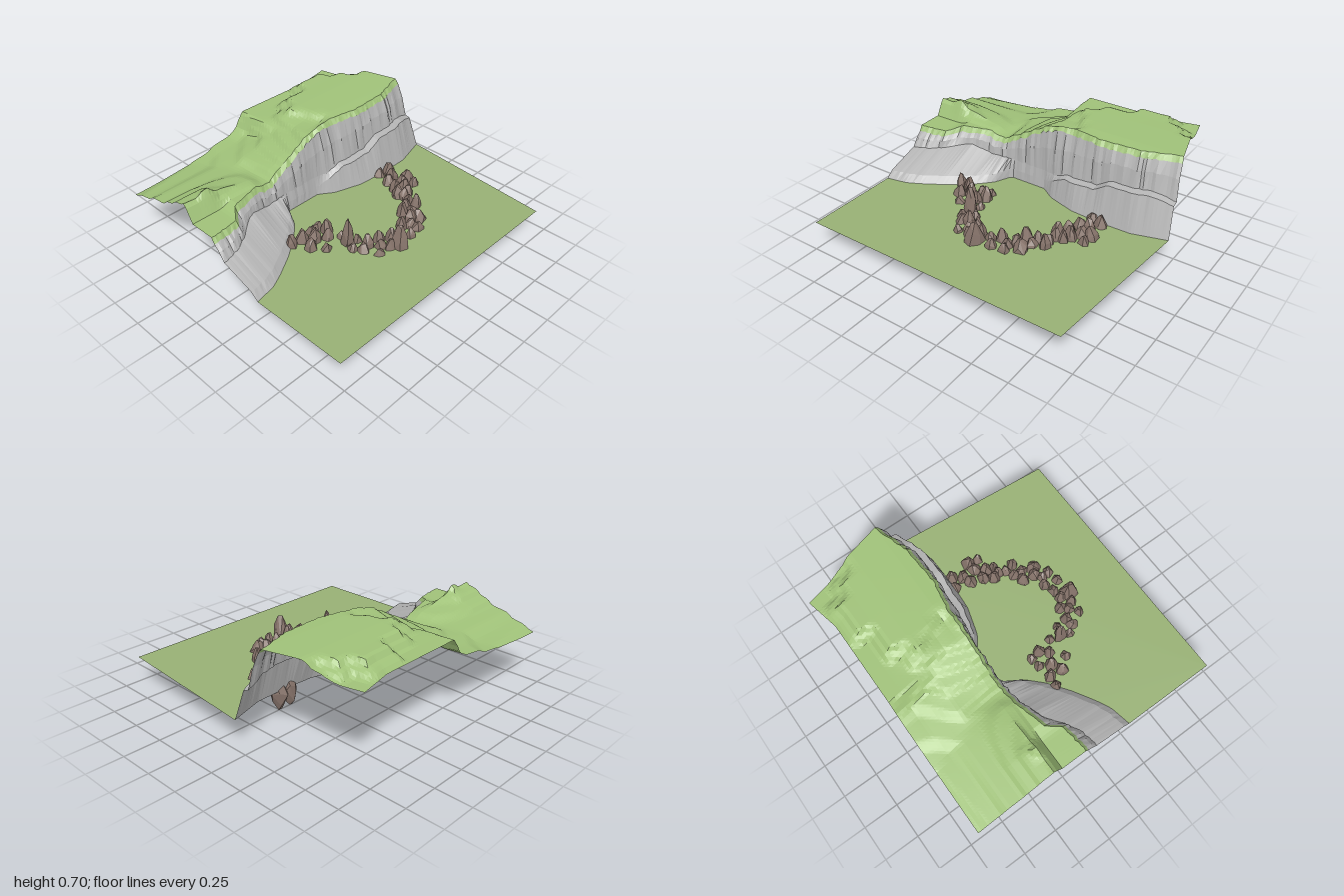
import * as THREE from 'three';
import { ConvexGeometry } from 'three/addons/geometries/ConvexGeometry.js';

const GROUND = 0.195, COLS = 84;
const mat = (name, color, side = THREE.FrontSide) => {
  const m = new THREE.MeshStandardMaterial({ color, side });
  m.name = name;
  return m;
};
const lerp = THREE.MathUtils.lerp;
const step = THREE.MathUtils.smoothstep;

// small seeded random generator
function seeded(seed) {
  return () => {
    seed = (seed * 1664525 + 1013904223) >>> 0;
    return seed / 4294967296;
  };
}

// piecewise linear curve through [position, value] keys
const curve = (...keys) => (x) => {
  if (x <= keys[0][0]) return keys[0][1];
  for (let i = 1; i < keys.length; i++) {
    const [a, va] = keys[i - 1], [b, vb] = keys[i];
    if (x <= b) return lerp(va, vb, (x - a) / (b - a));
  }
  return keys[keys.length - 1][1];
};

// plan and height curves of the cliff, along x
const baseZ = curve([-1, 0.29], [-0.85, 0.26], [-0.75, 0.21], [-0.6, 0.12], [-0.45, 0.01], [-0.34, -0.1],
  [-0.28, -0.23], [0, -0.23], [0.1, -0.16], [0.3, -0.1], [0.5, -0.085], [0.75, -0.09], [0.99, -0.16]);
const toeDepth = curve([-1, 0.05], [-0.4, 0.05], [-0.28, 0.005], [0, 0.01], [0.1, 0.035], [0.4, 0.06], [1, 0.07]);
const toeY = curve([-1, 0.24], [-0.4, 0.24], [-0.28, 0.26], [0.02, 0.26], [0.1, 0.31], [0.2, 0.365],
  [0.45, 0.385], [0.55, 0.45], [0.85, 0.455], [0.99, 0.41]);
const shelfZ = curve([-1, 0], [-0.85, -0.03], [-0.75, -0.1], [-0.65, -0.18], [-0.45, -0.235], [-0.28, -0.25],
  [0, -0.25], [0.1, -0.225], [0.3, -0.2], [0.7, -0.2], [0.99, -0.27]);
const shelfY = curve([-1, 0.32], [-0.75, 0.35], [-0.6, 0.38], [-0.45, 0.33], [-0.28, 0.33], [0, 0.33],
  [0.1, 0.335], [0.2, 0.38], [0.45, 0.395], [0.55, 0.46], [0.85, 0.465], [0.99, 0.42]);
const rimZ = curve([-1, -0.08], [-0.8, -0.1], [-0.72, -0.2], [-0.5, -0.26], [-0.3, -0.28], [0.2, -0.28],
  [0.4, -0.24], [0.7, -0.26], [0.95, -0.34]);

// heights of the upper land at several depths
const land = [
  [-0.29, curve([-1, 0.46], [-0.8, 0.46], [-0.7, 0.48], [-0.5, 0.48], [-0.38, 0.455], [-0.3, 0.49],
    [-0.2, 0.55], [-0.1, 0.61], [0, 0.665], [0.1, 0.685], [1, 0.695])],
  [-0.36, curve([-1, 0.575], [-0.9, 0.57], [-0.82, 0.6], [-0.75, 0.54], [-0.6, 0.52], [-0.5, 0.49],
    [-0.38, 0.455], [-0.2, 0.55], [0, 0.65], [0.15, 0.66], [0.26, 0.695], [1, 0.7])],
  [-0.46, curve([-1, 0.53], [-0.8, 0.53], [-0.5, 0.48], [-0.38, 0.46], [-0.2, 0.54], [0, 0.63],
    [0.1, 0.65], [0.18, 0.695], [1, 0.7])],
  [-0.6, curve([-1, 0.46], [-0.45, 0.455], [-0.25, 0.51], [-0.05, 0.58], [0.04, 0.66], [0.1, 0.695], [1, 0.7])],
  [-0.72, curve([-1, 0.43], [-0.5, 0.43], [-0.13, 0.5], [-0.05, 0.61], [0.12, 0.62], [0.2, 0.69],
    [0.74, 0.69], [0.82, 0.63])],
  [-0.82, curve([-1, 0.39], [-0.5, 0.41], [-0.13, 0.48], [-0.06, 0.61], [0.34, 0.61], [0.41, 0.69],
    [0.62, 0.69], [0.72, 0.61])],
  [-0.93, curve([-1, 0.36], [-0.55, 0.38], [-0.15, 0.48], [-0.06, 0.61], [1, 0.61])],
];
function landHeight(x, z) {
  const h = curve(...land.map(([lz, f]) => [-lz, f(x)]))(-z);
  const s = h / 0.05, terrace = (Math.floor(s) + step(s % 1, 0.25, 0.75)) * 0.05;
  return lerp(h, terrace, 0.5);
}

// faceted sheet whose points come from point(row, column)
function sheet(rows, point) {
  const pos = [], index = [], w = COLS + 1;
  for (let r = 0; r < rows; r++) for (let c = 0; c <= COLS; c++) pos.push(...point(r, c));
  for (let r = 0; r < rows - 1; r++) for (let c = 0; c < COLS; c++) {
    const a = r * w + c, b = a + w;
    index.push(a, a + 1, b + 1, a, b + 1, b);
  }
  const g = new THREE.BufferGeometry();
  g.setAttribute('position', new THREE.Float32BufferAttribute(pos, 3));
  g.setIndex(index);
  const flat = g.toNonIndexed();
  flat.computeVertexNormals();
  return flat;
}

export function createModel() {
  const group = new THREE.Group();
  const add = (name, geometry, material) => {
    const mesh = new THREE.Mesh(geometry, material);
    mesh.name = name;
    group.add(mesh);
    return mesh;
  };
  const meadowGreen = mat('meadow green', 0x98b175, THREE.DoubleSide);
  const grassGreen = mat('grass green', 0xa0c279, THREE.DoubleSide);
  const cliffGrey = mat('cliff grey', 0xb4b4b4, THREE.DoubleSide);
  const rockBrown = mat('rock brown', 0x87746b);

  const rand = seeded(7);
  const groove = Array.from({ length: COLS + 1 }, () => (rand() - 0.5) * 0.016);
  const ragged = Array.from({ length: COLS + 1 }, () => (rand() - 0.5) * 0.016);
  const columnX = (c, y) => lerp(-1, 0.99 - 0.09 * (y - GROUND), c / COLS);

  // flat meadow, its back edge following the foot of the cliff
  const outline = [new THREE.Vector2(-1, -0.97), new THREE.Vector2(0.9, -0.97)];
  for (let c = COLS; c >= 0; c--) {
    const x = columnX(c, GROUND);
    outline.push(new THREE.Vector2(x, -baseZ(x)));
  }
  add('meadow', new THREE.ShapeGeometry(new THREE.Shape(outline)).rotateX(-Math.PI / 2).translate(0, GROUND, 0), meadowGreen);

  // cliff wall: foot, toe, shelf, upper face, rim
  const rimPoint = (c) => {
    const x = columnX(c, 0.62);
    return [x, landHeight(x, -0.2) - 0.035 + ragged[c], rimZ(x) + groove[c] * 0.6];
  };
  add('cliffWall', sheet(5, (r, c) => {
    const u = columnX(c, GROUND), rim = rimPoint(c);
    const shelf = [columnX(c, shelfY(u)), shelfY(u), shelfZ(u) + groove[c] * 0.6];
    if (r === 0) return [u, GROUND, baseZ(u)];
    if (r === 1) return [columnX(c, toeY(u)), toeY(u), baseZ(u) - toeDepth(u) + groove[c] * 0.5];
    if (r === 2) return shelf;
    if (r === 3) return shelf.map((v, i) => lerp(v, rim[i], 0.6) + (i === 2 ? groove[c] * 0.5 + 0.008 : 0));
    return rim;
  }), cliffGrey);

  // grassy upper land, from the rim to the back edge
  const ROWS = 30;
  add('upperLand', sheet(ROWS, (r, c) => {
    const rim = rimPoint(c);
    if (r === 0) return rim;
    const lip = rim[2] - 0.025;
    const t = (r - 1) / (ROWS - 2);
    let z = Math.min(lerp(-0.24, -0.93, t), lip - 0.004 * (r - 1));
    if (r === 1) z = lip;
    const right = z > -0.36 ? 0.945 : lerp(0.945, 0.78, (-z - 0.36) / 0.6);
    const x = lerp(-1, right, c / COLS);
    const y = landHeight(x, z);
    z -= 0.05 * t ** 4 * Math.max(0, (x - 0.55) / 0.23);
    return [x, y, z];
  }), grassGreen);

  // curved barrier of upright rocks, as x, z pairs
  const spots = [
    -0.51, 0.05, -0.43, 0.07, -0.37, 0.12, -0.44, 0.16, -0.38, 0.24, -0.33, 0.05, -0.26, 0.04, -0.25, 0.11,
    -0.29, 0.16, -0.22, 0.22, -0.24, 0.29, -0.18, 0.32, -0.26, 0.36, -0.22, 0.41, -0.17, 0.4, -0.18, 0.51,
    -0.12, 0.46, -0.08, 0.42, -0.08, 0.52, -0.02, 0.47, -0.02, 0.54, 0.05, 0.46, 0.1, 0.53, 0.12, 0.43,
    0.18, 0.46, 0.19, 0.51, 0.23, 0.42, 0.27, 0.45, 0.24, 0.34, 0.3, 0.37, 0.31, 0.31, 0.38, 0.34,
    0.37, 0.28, 0.39, 0.23, 0.44, 0.22, 0.46, 0.17, 0.42, 0.12, 0.45, 0.03, 0.51, 0.01, 0.56, 0.17,
    0.51, 0.11, 0.57, 0.1, 0.48, -0.08, 0.55, -0.06, 0.38, 0.18,
  ];
  const rocks = new THREE.Group();
  rocks.name = 'rockBarrier';
  for (let i = 0; i < spots.length; i += 2) {
    const tallBack = i === 20, tallFront = i === 40;
    const radius = tallFront ? 0.066 : 0.042 + rand() * 0.014;
    const top = tallBack ? 0.39 : tallFront ? 0.35 : 0.24 + rand() * 0.06;
    const bottom = tallFront ? 0.0 : 0.03 + rand() * 0.05;
    const points = [];
    for (const [level, width, n] of [[0, 0.3, 3], [0.22, 0.8, 5], [0.5, 1.05, 6], [0.75, 0.8, 5], [1, 0.3, 3]]) {
      const turn = rand() * 6.28;
      for (let k = 0; k < n; k++) {
        const a = turn + (k + rand() * 0.5) * 2 * Math.PI / n, d = radius * width * (0.8 + rand() * 0.35);
        const y = THREE.MathUtils.clamp(level + (rand() - 0.5) * 0.16, 0, 1);
        points.push(new THREE.Vector3(Math.cos(a) * d, lerp(bottom, top, y), Math.sin(a) * d));
      }
    }
    const rock = new THREE.Mesh(new ConvexGeometry(points), rockBrown);
    rock.name = 'rock';
    rock.position.set(spots[i], 0, spots[i + 1]);
    rocks.add(rock);
  }
  group.add(rocks);
  return group;
}
